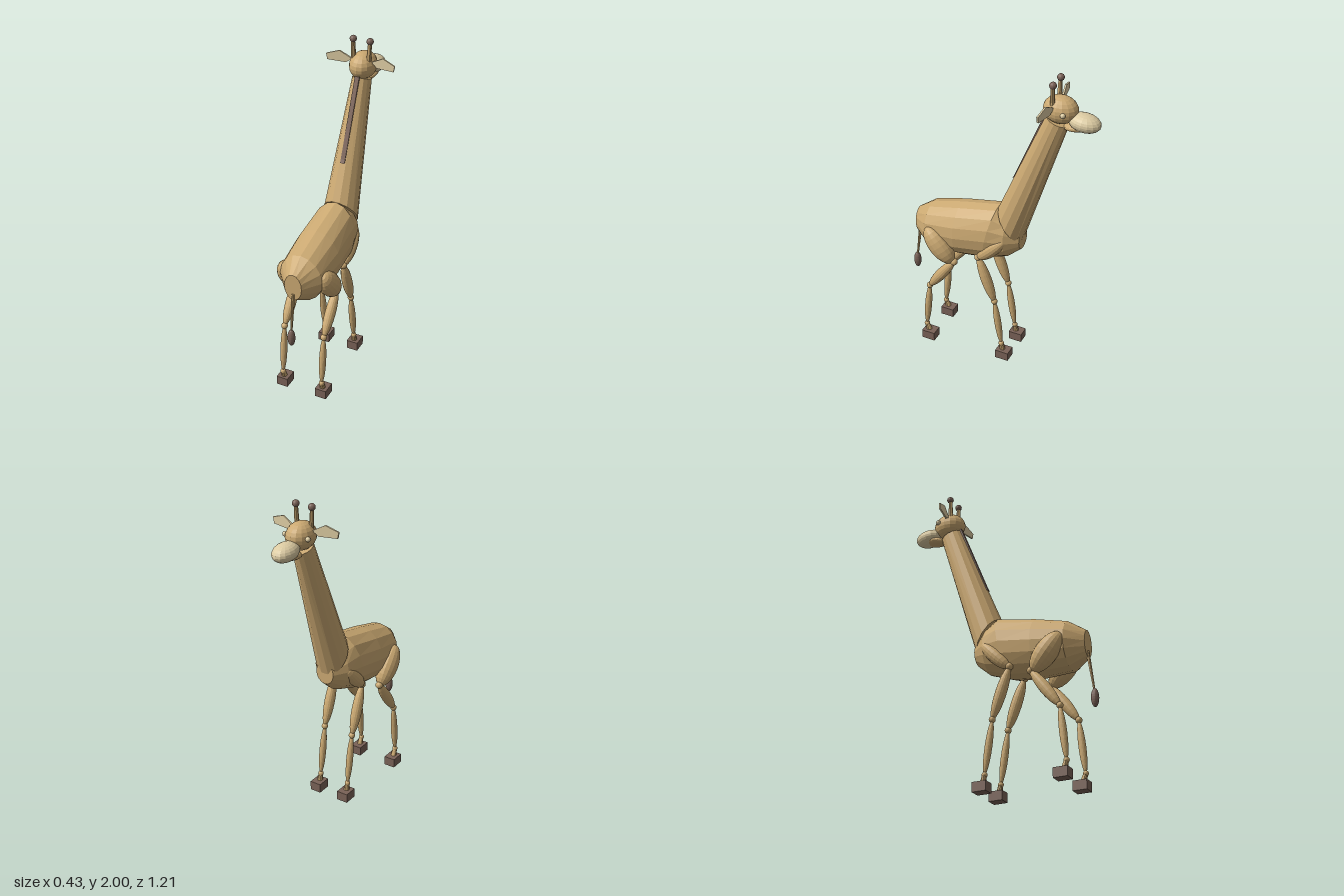
import * as THREE from 'three';

const mat = (name, color) => {
  const m = new THREE.MeshStandardMaterial({ color, flatShading: true });
  m.name = name;
  return m;
};

// Closed skin through tilted elliptical rings: [topZ, topY, bottomZ, bottomY, halfWidth]
function loft(rings, sides = 16) {
  const pos = [], index = [];
  for (const [tz, ty, bz, by, rx] of rings) {
    for (let j = 0; j < sides; j++) {
      const a = (j / sides) * Math.PI * 2, s = Math.sin(a) / 2;
      pos.push(rx * Math.cos(a), (ty + by) / 2 + (ty - by) * s, (tz + bz) / 2 + (tz - bz) * s);
    }
  }
  const last = rings.length - 1;
  for (let i = 0; i < last; i++) {
    for (let j = 0; j < sides; j++) {
      const k = (j + 1) % sides, a = i * sides, b = a + sides;
      index.push(a + j, b + j, b + k, a + j, b + k, a + k);
    }
  }
  for (let j = 1; j < sides - 1; j++) {
    index.push(0, j, j + 1);
    index.push(last * sides, last * sides + j + 1, last * sides + j);
  }
  const g = new THREE.BufferGeometry();
  g.setAttribute('position', new THREE.Float32BufferAttribute(pos, 3));
  g.setIndex(index);
  g.computeVertexNormals();
  return g;
}

export function createModel() {
  const model = new THREE.Group();
  model.name = 'giraffe';
  const tan = mat('tan hide', 0xcba972);
  const cream = mat('cream', 0xdccba2);
  const brown = mat('dark brown', 0x7a6257);

  const add = (name, geo, material, parent = model) => {
    const m = new THREE.Mesh(geo, material);
    m.name = name;
    parent.add(m);
    return m;
  };
  const ball = (name, material, p, r, parent) => {
    const m = add(name, new THREE.SphereGeometry(1, 16, 12), material, parent);
    m.position.set(...p);
    m.scale.set(...(Array.isArray(r) ? r : [r, r, r]));
    return m;
  };
  // Places a y-aligned mesh midway between two points
  const span = (m, a, b) => {
    const va = new THREE.Vector3(...a), vb = new THREE.Vector3(...b);
    m.position.copy(va).lerp(vb, 0.5);
    m.quaternion.setFromUnitVectors(new THREE.Vector3(0, 1, 0), vb.sub(va).normalize());
    return m;
  };
  const dist = (a, b) => Math.hypot(a[0] - b[0], a[1] - b[1], a[2] - b[2]);
  const spindle = (name, a, b, rx, rz, parent) =>
    span(ball(name, tan, [0, 0, 0], [rx, dist(a, b) / 2, rz], parent), a, b);
  const rod = (name, material, a, b, ra, rb, parent) =>
    span(add(name, new THREE.CylinderGeometry(rb, ra, dist(a, b), 10), material, parent), a, b);

  // Torso, rump to chest
  add('body', loft([
    [0.55, 0.90, 0.55, 0.73, 0.055],
    [0.45, 0.97, 0.45, 0.67, 0.135],
    [0.25, 1.025, 0.25, 0.665, 0.15],
    [0.0, 1.08, 0.08, 0.685, 0.143],
    [-0.07, 1.03, -0.07, 0.74, 0.118],
    [-0.15, 0.95, -0.15, 0.81, 0.06],
  ]), tan);

  // Neck and mane
  add('neck', loft([
    [0.0, 1.08, -0.15, 0.87, 0.105],
    [-0.283, 1.765, -0.415, 1.72, 0.055],
  ], 14), tan);
  const maneShape = new THREE.Shape([[-0.085, 1.3], [-0.096, 1.32], [-0.283, 1.785], [-0.31, 1.77], [-0.13, 1.32]]
    .map(([z, y]) => new THREE.Vector2(-z, y)));
  const mane = add('mane', new THREE.ExtrudeGeometry(maneShape, { depth: 0.028, bevelEnabled: false }), brown);
  mane.rotation.y = Math.PI / 2;
  mane.position.x = -0.014;

  // Head
  ball('head', tan, [0, 1.816, -0.365], [0.08, 0.081, 0.102]);
  ball('muzzle', cream, [0, 1.767, -0.507], [0.067, 0.052, 0.095]).rotation.x = -0.08;
  ball('jaw', tan, [0, 1.732, -0.465], [0.048, 0.026, 0.085]).rotation.x = 0.2;

  const earShape = new THREE.Shape([[0.06, 1.85], [0.1, 1.823], [0.21, 1.828], [0.217, 1.865], [0.138, 1.892]]
    .map(([x, y]) => new THREE.Vector2(x, y)));
  for (const s of [1, -1]) {
    const side = s > 0 ? 'left' : 'right';
    ball(side + 'Eye', cream, [s * 0.076, 1.822, -0.408], 0.015);
    rod(side + 'Horn', tan, [s * 0.048, 1.86, -0.335], [s * 0.053, 1.975, -0.335], 0.015, 0.011);
    ball(side + 'HornTip', brown, [s * 0.053, 1.979, -0.337], 0.021);

    // Thin leaf ear, swept back towards its tip
    const geo = new THREE.ExtrudeGeometry(earShape, { depth: 0.01, bevelEnabled: false });
    const p = geo.attributes.position;
    for (let i = 0; i < p.count; i++) p.setZ(i, p.getZ(i) - 0.36 + 0.16 * p.getX(i));
    if (s < 0) {
      // Turn the ear around y and mirror its sweep
      geo.rotateY(Math.PI);
      for (let i = 0; i < p.count; i++) p.setZ(i, p.getZ(i) - 0.71 + 0.32 * -p.getX(i));
    }
    geo.computeVertexNormals();
    add(side + 'Ear', geo, cream);
  }

  // Legs: [hip top, hip bottom, knee, ankle] as [y, z]
  const legs = [
    { name: 'Hind', x: 0.13, hip: [[0.86, 0.435], [0.65, 0.26]], r: [0.062, 0.07],
      joint: [0.66, 0.25], knee: [0.42, 0.425], ankle: [0.1, 0.457], hoof: 0.433 },
    { name: 'Front', x: 0.1, hip: [[0.9, -0.075], [0.72, 0.1]], r: [0.045, 0.045],
      joint: [0.725, 0.1], knee: [0.42, -0.008], ankle: [0.1, -0.055], hoof: -0.073 },
  ];
  for (const s of [1, -1]) {
    for (const l of legs) {
      const leg = new THREE.Group();
      leg.name = (s > 0 ? 'left' : 'right') + l.name + 'Leg';
      model.add(leg);
      const at = ([y, z]) => [s * l.x, y, z];
      spindle('thigh', at(l.hip[0]), at(l.hip[1]), l.r[0], l.r[1], leg);
      spindle('upperLeg', at(l.joint), at(l.knee), 0.032, 0.034, leg);
      spindle('lowerLeg', at(l.knee), at(l.ankle), 0.021, 0.022, leg);
      ball('hipJoint', tan, at(l.joint), 0.023, leg);
      ball('knee', tan, at(l.knee), 0.02, leg);
      ball('ankle', tan, at(l.ankle), 0.017, leg);
      rod('pastern', tan, at([0.05, l.hoof + 0.008]), at(l.ankle), 0.018, 0.014, leg);
      const hoof = add('hoof', new THREE.BoxGeometry(0.072, 0.058, 0.086), brown, leg);
      hoof.position.set(s * l.x, 0.029, l.hoof);
    }
  }

  // Tail
  rod('tail', tan, [0, 0.52, 0.58], [0, 0.77, 0.546], 0.006, 0.011);
  ball('tailTuft', brown, [0, 0.483, 0.581], [0.023, 0.056, 0.023]);
  return model;
}
